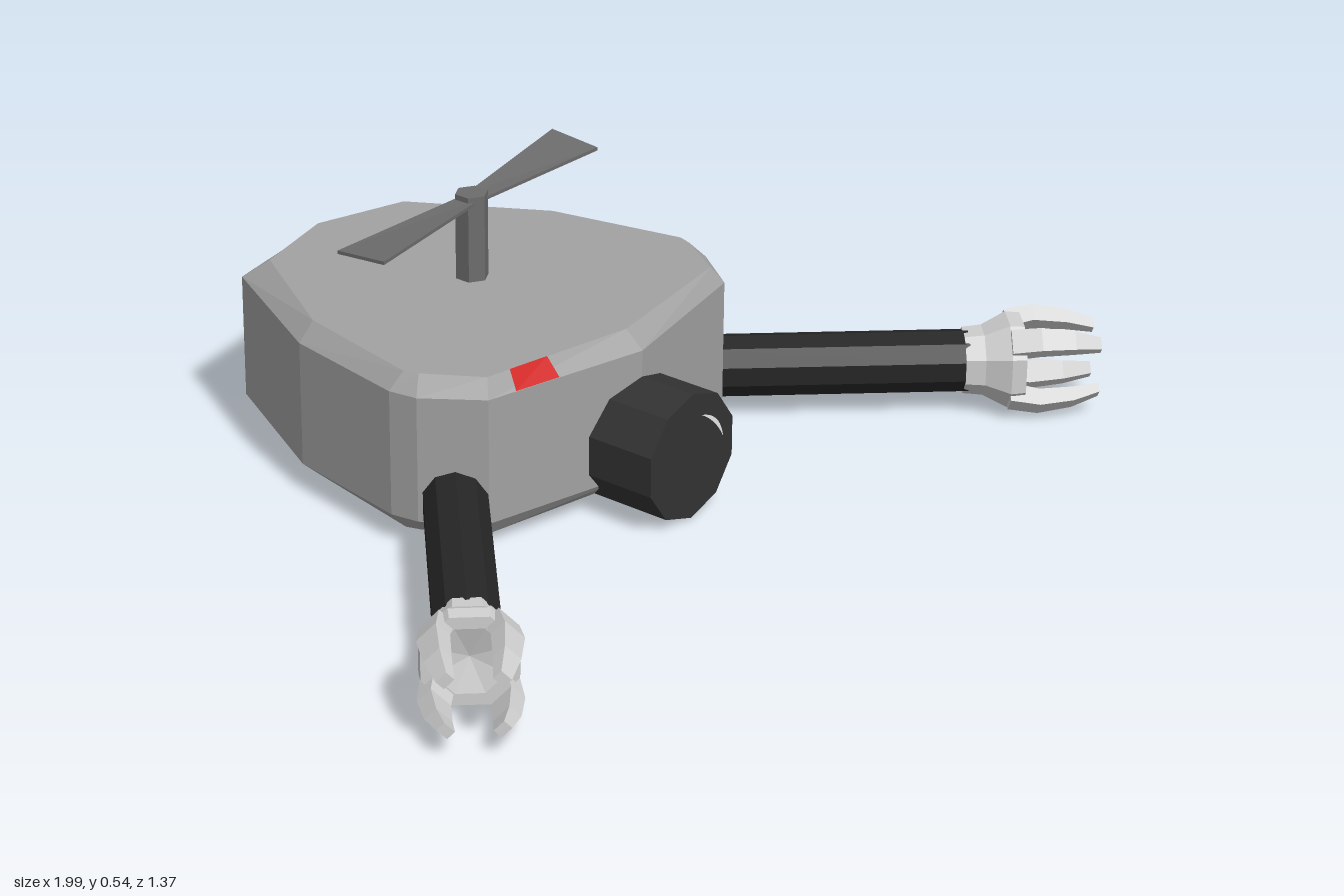
import * as THREE from 'three';

const mat = (name, color, side = THREE.FrontSide) => {
  const m = new THREE.MeshStandardMaterial({ color, flatShading: true, side });
  m.name = name;
  return m;
};

// Skin a closed solid through rings of [x, y, z] points
function loft(rings) {
  const pos = [];
  const n = rings[0].length;
  const last = rings[rings.length - 1];
  const tri = (...p) => p.forEach((v) => pos.push(...v));
  for (let i = 0; i < rings.length - 1; i++) {
    for (let j = 0; j < n; j++) {
      const k = (j + 1) % n;
      const a = rings[i], b = rings[i + 1];
      tri(a[j], a[k], b[k]);
      tri(a[j], b[k], b[j]);
    }
  }
  for (let j = 1; j < n - 1; j++) {
    tri(rings[0][0], rings[0][j + 1], rings[0][j]);
    tri(last[0], last[j], last[j + 1]);
  }
  const g = new THREE.BufferGeometry();
  g.setAttribute('position', new THREE.Float32BufferAttribute(pos, 3));
  g.computeVertexNormals();
  return g;
}

export function createModel() {
  const root = new THREE.Group();
  const bodyGrey = mat('body grey', 0xa2a2a2);
  const rotorGrey = mat('rotor grey', 0x6c6c6c);
  const black = mat('arm black', 0x262626);
  const lensBlack = mat('lens black', 0x333333);
  const handGrey = mat('hand light grey', 0xcfcfcf);
  const red = mat('light red', 0xd01010, THREE.DoubleSide);
  const white = mat('glint white', 0xeeeeee);

  const add = (parent, name, geometry, material, x = 0, y = 0, z = 0) => {
    const m = new THREE.Mesh(geometry, material);
    m.name = name;
    m.position.set(x, y, z);
    parent.add(m);
    return m;
  };

  // Body: half outlines (x, z) from front to back, mirrored
  const outer = [[0, 0.21], [0.36, 0.13], [0.44, 0.02], [0.45, -0.04], [0.4, -0.32], [0.24, -0.63], [0, -0.68]];
  const inner = [[0, 0.17], [0.34, 0.11], [0.41, 0.0], [0.42, -0.03], [0.36, -0.32], [0.2, -0.59], [0, -0.645]];
  const ring = (half, y) => [
    ...half,
    ...half.slice(1, -1).reverse().map(([x, z]) => [-x, z]),
  ].map(([x, z]) => [x, y, z]);
  add(root, 'body', loft([ring(inner, 0.025), ring(outer, 0.06), ring(outer, 0.32), ring(inner, 0.355)]), bodyGrey);

  // Red status light lying on the front bevel
  const onBevel = (x, t) => {
    const zo = 0.21 - 0.08 * (x / 0.36), zi = 0.17 - 0.06 * (x / 0.34);
    return [-x, 0.323 + 0.035 * t, zo + (zi - zo) * t + 0.004];
  };
  const lamp = new THREE.BufferGeometry();
  const q = [onBevel(0.3, 0), onBevel(0.2, 0), onBevel(0.2, 1), onBevel(0.29, 1)];
  lamp.setAttribute('position', new THREE.Float32BufferAttribute([0, 1, 2, 0, 2, 3].flatMap((i) => q[i]), 3));
  lamp.computeVertexNormals();
  add(root, 'statusLight', lamp, red);

  // Rotor: shaft with two tapered, slightly pitched blades
  const rotor = new THREE.Group();
  rotor.name = 'rotor';
  rotor.position.set(0, 0, -0.225);
  root.add(rotor);
  add(rotor, 'rotorShaft', new THREE.CylinderGeometry(0.034, 0.034, 0.19, 6), rotorGrey, 0, 0.44, 0);
  const section = (x, zf, zb, yf, yb) => [
    [x, yf, zf], [x, yb, zb], [x, yb + 0.007, zb], [x, yf + 0.007, zf],
  ];
  const blade = loft([section(0, 0.02, -0.02, 0.517, 0.517), section(0.365, 0.02, -0.1, 0.517, 0.527)]);
  for (const turn of [0, Math.PI]) add(rotor, 'rotorBlade', blade, rotorGrey).rotation.y = turn;

  // Camera lens with a curved glint on the glass
  const lens = new THREE.CylinderGeometry(0.1325, 0.1325, 0.23, 10).rotateX(Math.PI / 2);
  add(root, 'cameraLens', lens, lensBlack, 0, 0.1325, 0.22);
  const glint = new THREE.Shape();
  glint.moveTo(0.025, 0.08);
  glint.quadraticCurveTo(0.085, 0.065, 0.095, 0.01);
  glint.quadraticCurveTo(0.07, 0.055, 0.025, 0.08);
  const glintMesh = add(root, 'lensGlint', new THREE.ShapeGeometry(glint), white, 0, 0.1325, 0.337);
  glintMesh.material.side = THREE.DoubleSide;

  // Arms: a tube, a flared cuff and four gripping fingers, along local z
  const tube = new THREE.CylinderGeometry(0.065, 0.065, 0.56, 10).rotateX(Math.PI / 2);
  const cuffProfile = [[0, -0.01], [0.068, -0.01], [0.072, 0.03], [0.098, 0.08], [0.095, 0.11], [0.07, 0.11], [0, 0.09]]
    .map(([r, h]) => new THREE.Vector2(r, h));
  const cuff = new THREE.LatheGeometry(cuffProfile, 8, Math.PI / 8).rotateX(Math.PI / 2);
  const finger = loft([
    [0.08, 0.06, 0.1, 0.026], [0.14, 0.075, 0.11, 0.025], [0.21, 0.07, 0.1, 0.02], [0.265, 0.06, 0.08, 0.013],
  ].map(([z, a, b, w]) => [[a, -w, z], [b, -w, z], [b, w, z], [a, w, z]]));

  const makeArm = (name, x, z, dx, dz) => {
    const arm = new THREE.Group();
    arm.name = name;
    arm.position.set(x, 0.103, z);
    arm.rotation.y = Math.atan2(dx, dz);
    add(arm, 'armTube', tube, black, 0, 0, -0.28);
    add(arm, 'handCuff', cuff, handGrey);
    for (let i = 0; i < 4; i++) {
      add(arm, 'finger', finger, handGrey).rotation.z = Math.PI / 4 + (i * Math.PI) / 2;
    }
    root.add(arm);
  };
  makeArm('leftArm', 0.762, 0.45, 0.68, 0.73);
  makeArm('rightArm', -0.765, 0.43, -0.72, 0.69);

  return root;
}
